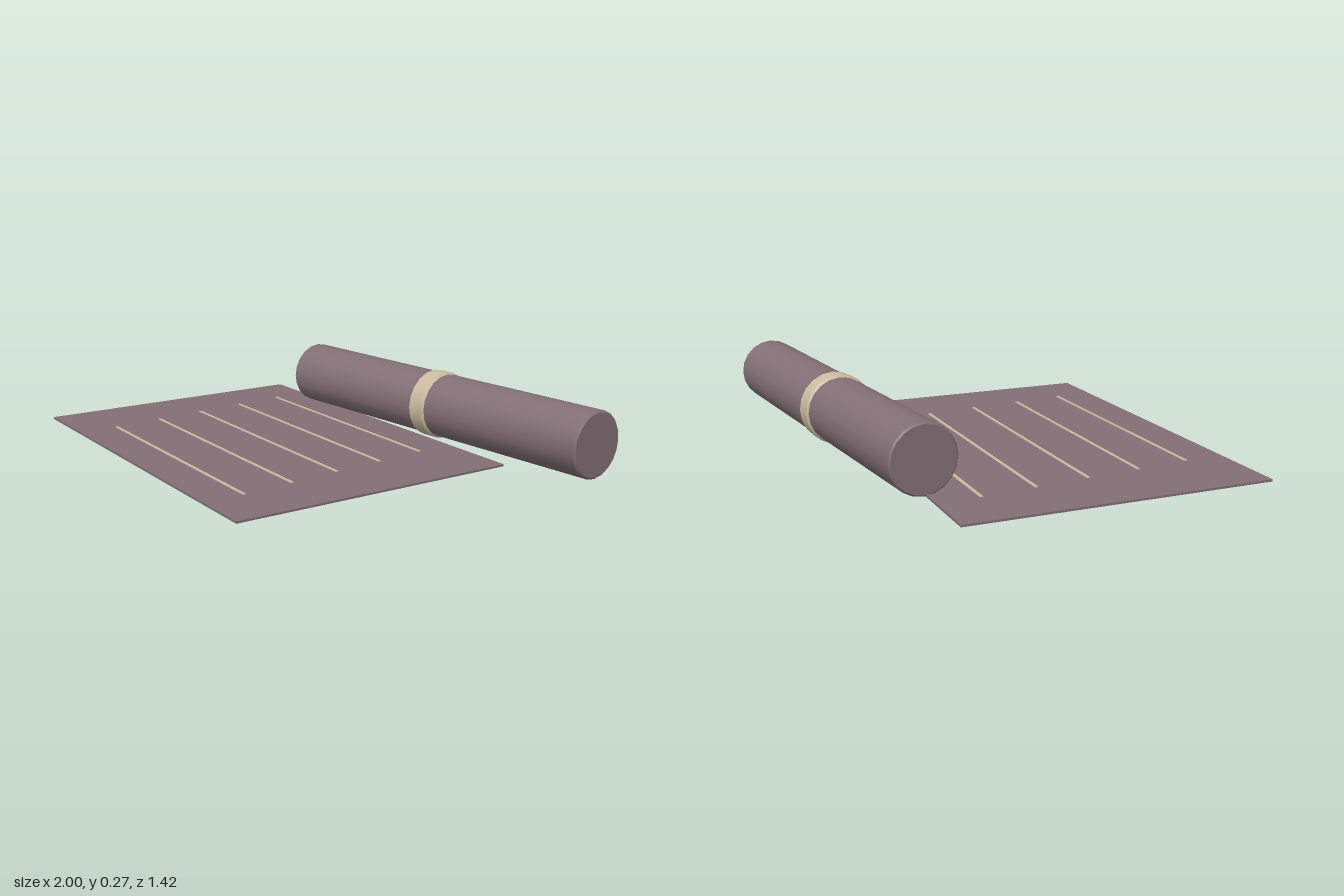
import * as THREE from 'three';
import { toCreasedNormals } from 'three/addons/utils/BufferGeometryUtils.js';

const paper = new THREE.MeshStandardMaterial({ color: 0x826f75 });
paper.name = 'mauve paper';
const cream = new THREE.MeshStandardMaterial({ color: 0xcabb9f });
cream.name = 'cream';

function addMesh(parent, name, geometry, material, x, y, z) {
  const mesh = new THREE.Mesh(geometry, material);
  mesh.name = name;
  mesh.position.set(x, y, z);
  parent.add(mesh);
  return mesh;
}

// Closed cylinder along x with bevelled rims
function bevelledRod(radius, length, bevel) {
  const h = length / 2;
  const profile = [
    [0, -h], [radius - bevel, -h], [radius, -h + bevel],
    [radius, h - bevel], [radius - bevel, h], [0, h],
  ].map(([r, y]) => new THREE.Vector2(r, y));
  const geometry = new THREE.LatheGeometry(profile, 20);
  geometry.rotateZ(-Math.PI / 2);
  return toCreasedNormals(geometry, 0.6);
}

export function createModel() {
  const model = new THREE.Group();
  model.name = 'scrollAndSheet';
  const turn = -0.1;

  // Flat sheet, slightly turned
  addMesh(model, 'sheet', new THREE.BoxGeometry(1.575, 0.008, 1.154), paper, -0.159, 0.012, 0.052)
    .rotation.y = turn;

  // Ruled lines on the sheet
  for (let i = -2; i <= 2; i++) {
    addMesh(model, 'ruledLine', new THREE.BoxGeometry(1.055, 0.005, 0.012), cream, -0.159, 0.0165, 0.052 + i * 0.21)
      .rotation.y = turn;
  }

  // Rolled scroll with its band
  addMesh(model, 'scrollRoll', bevelledRod(0.128, 1.575, 0.006), paper, 0.2115, 0.137, -0.575);
  addMesh(model, 'scrollBand', bevelledRod(0.136, 0.088, 0.011), cream, 0.208, 0.137, -0.575);

  return model;
}
